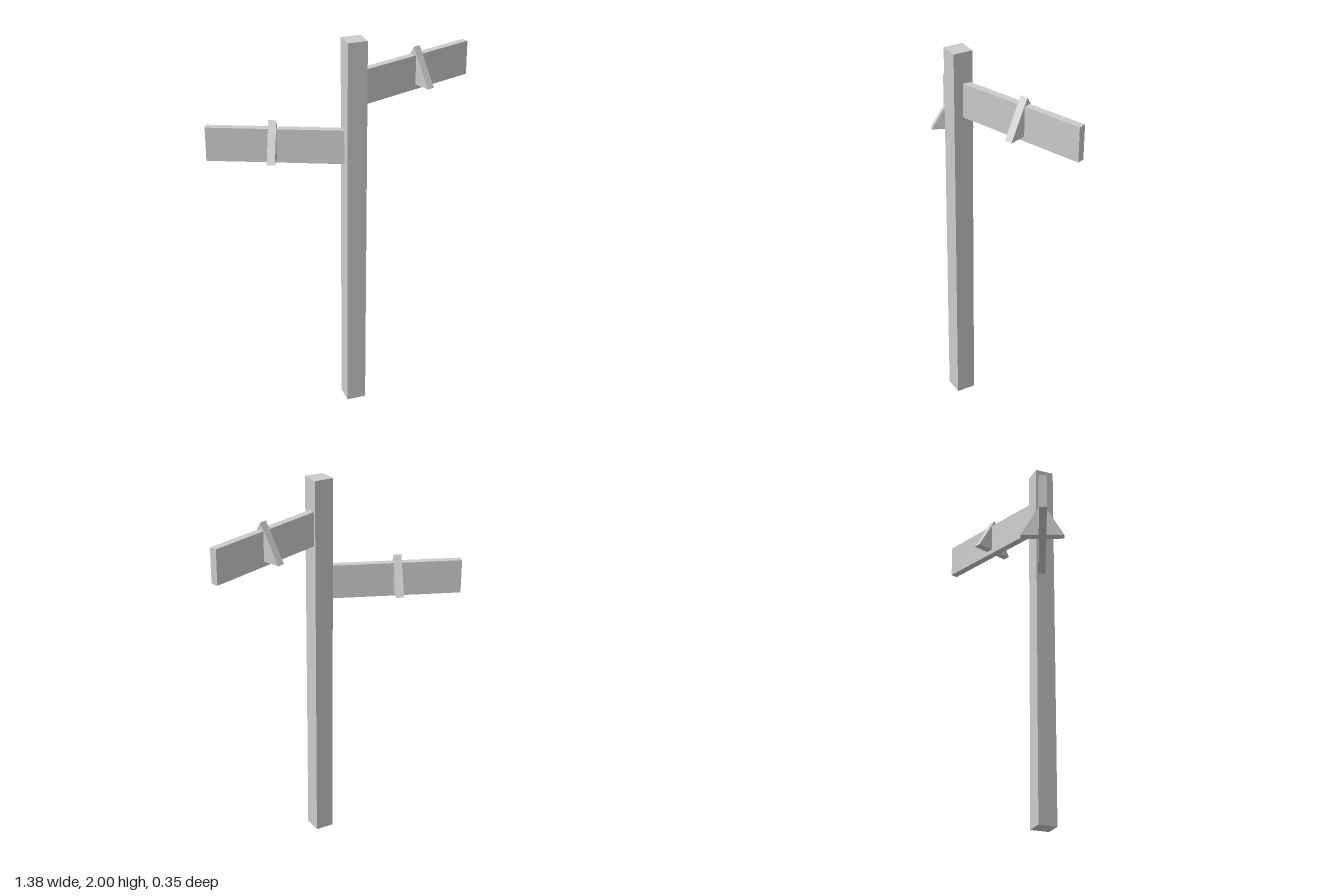
import * as THREE from 'three';

const gray = new THREE.MeshStandardMaterial({ color: 0xcccccc });
gray.name = 'plain gray';

function part(name, geometry, x, y, z) {
  const mesh = new THREE.Mesh(geometry, gray);
  mesh.name = name;
  mesh.position.set(x, y, z);
  return mesh;
}

// Equilateral wedge, point up, its axis running along x
function wedgeGeometry(radius, thickness) {
  const g = new THREE.CylinderGeometry(radius, radius, thickness, 3)
    .rotateX(-Math.PI / 2)
    .rotateY(Math.PI / 2)
    .toNonIndexed();
  g.computeVertexNormals();
  return g;
}

// Board reaching out from the post axis, with a wedge through its middle
function signArm(name, y, degrees, reach, wedgeAt) {
  const arm = new THREE.Group();
  arm.name = name;
  arm.position.y = y;
  arm.rotation.y = THREE.MathUtils.degToRad(degrees);
  const start = 0.038;
  arm.add(part('board', new THREE.BoxGeometry(reach - start, 0.177, 0.038), (reach + start) / 2, 0, 0));
  arm.add(part('wedge', wedgeGeometry(0.1275, 0.04), wedgeAt, 0, 0));
  return arm;
}

export function createModel() {
  const model = new THREE.Group();
  model.name = 'signpost';
  model.position.set(-0.007, 0, 0.125);

  // Square upright
  model.add(part('post', new THREE.BoxGeometry(0.1, 2, 0.1), 0, 1, 0));

  // Two boards swept backward
  model.add(signArm('leftArm', 1.752, 20, 0.735, 0.402));
  model.add(signArm('rightArm', 1.453, 157, 0.729, 0.398));

  const root = new THREE.Group();
  root.add(model);
  return root;
}
